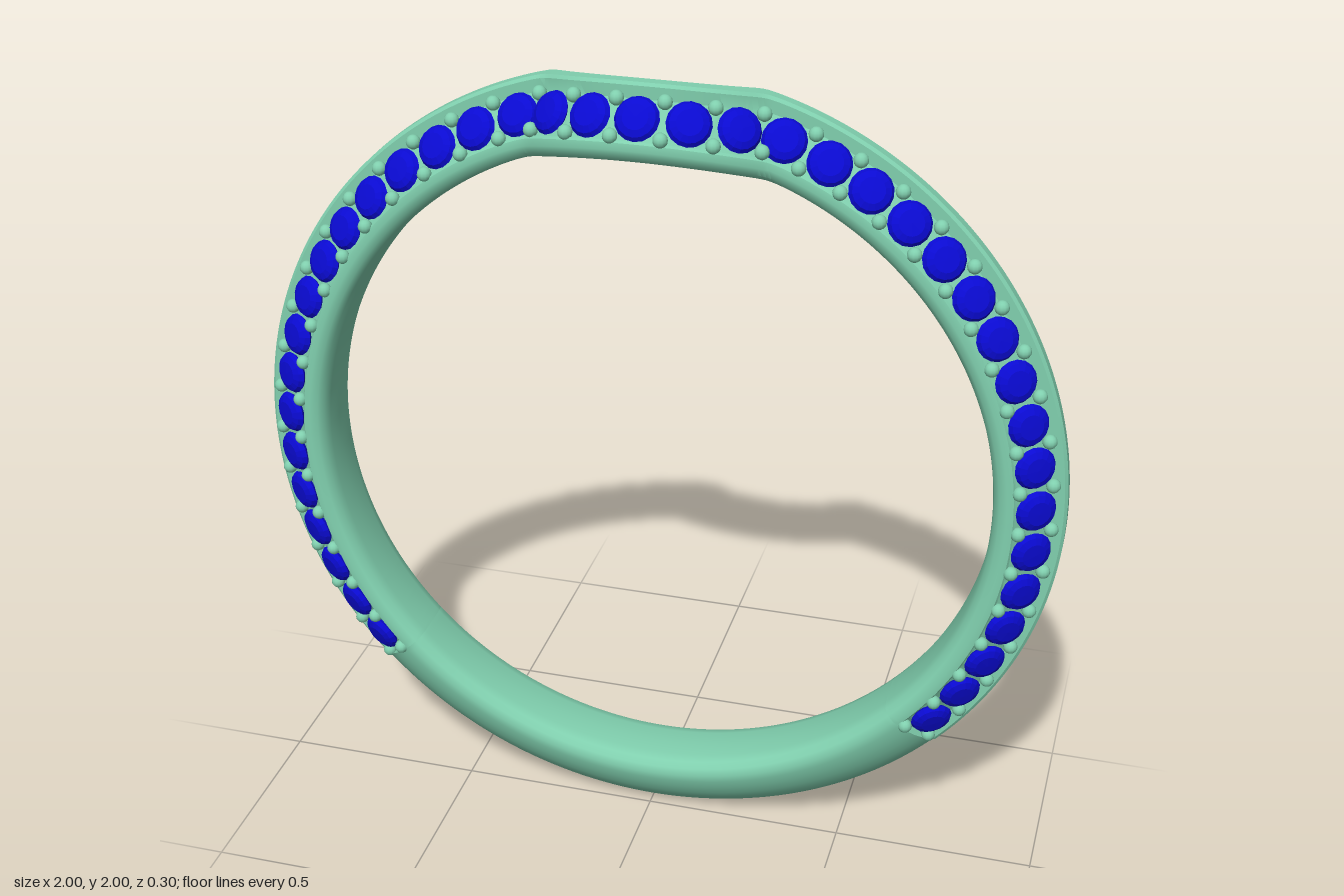
import * as THREE from 'three';
import { toCreasedNormals } from 'three/addons/utils/BufferGeometryUtils.js';

const END = 2.32;          // angle from the top where the stone channel stops
const CENTRE_Z = -0.0475;  // middle of the band away from the bend
const BEND_R = 0.376, BEND_C = -0.281;

// Point on the band: angle from the top, radius, offset across the band.
// Near the top the band follows concentric arcs that bow to the front.
function bandPoint(a, r, w) {
  const x = r * Math.sin(a);
  let z = w;
  if (Math.cos(a) > 0) {
    const R = BEND_R + w;
    const arc = BEND_C + Math.sqrt(Math.max(0, R * R - x * x));
    z = (w + arc + Math.hypot(w - arc, 0.012)) / 2;
  }
  return new THREE.Vector3(x, 1 + r * Math.cos(a), z + CENTRE_Z);
}

// Half profiles as [offset, radius], mirrored into closed loops
const inner = [[0, 0.83], [0.05, 0.831], [0.075, 0.837], [0.089, 0.85], [0.095, 0.868]];
const settingHalf = [...inner, [0.092, 0.884], [0.086, 0.888], [0.078, 0.883],
  [0.019, 0.963], [0.019, 0.993], [0.013, 1]];
const shankHalf = [...inner, [0.091, 0.888], [0.082, 0.912], [0.068, 0.938],
  [0.05, 0.962], [0.03, 0.983], [0.012, 0.996], [0, 0.999]];

function loop(half) {
  const back = half.filter(p => p[0] > 0).reverse().map(([w, r]) => [-w, r]);
  return [...half, ...back];
}

// Sweep a profile loop around the band from angle a0 to a1
function sweep(profile, a0, a1, steps, caps) {
  const n = profile.length, pos = [], idx = [];
  for (let i = 0; i <= steps; i++) {
    const a = a0 + (a1 - a0) * i / steps;
    for (const [w, r] of profile) pos.push(...bandPoint(a, r, w).toArray());
  }
  for (let i = 0; i < steps; i++) {
    for (let j = 0; j < n; j++) {
      const p = i * n + j, q = i * n + (j + 1) % n;
      idx.push(p, p + n, q, q, p + n, q + n);
    }
  }
  if (caps) {
    const last = steps * n;
    for (let j = 1; j < n - 1; j++) {
      idx.push(0, j, j + 1, last, last + j + 1, last + j);
    }
  }
  const g = new THREE.BufferGeometry();
  g.setAttribute('position', new THREE.Float32BufferAttribute(pos, 3));
  g.setIndex(idx);
  return toCreasedNormals(g, 0.6);
}

// Angles spaced evenly by length along one row
function evenAngles(w, r, from, to, count) {
  const N = 2000, len = [0];
  let prev = bandPoint(from, r, w);
  for (let i = 1; i <= N; i++) {
    const p = bandPoint(from + (to - from) * i / N, r, w);
    len.push(len[i - 1] + p.distanceTo(prev));
    prev = p;
  }
  const out = [];
  for (let k = 0, i = 0; k < count; k++) {
    const target = len[N] * k / (count - 1);
    while (i < N && len[i] < target - 1e-9) i++;
    out.push(from + (to - from) * i / N);
  }
  return out;
}

// Local frame on the sloping channel floor: along, across (outwards) and normal
function floorFrame(a, side) {
  const r = 0.925, w = side * 0.05, e = 0.012;
  const along = bandPoint(a + e, r, w).sub(bandPoint(a - e, r, w)).normalize();
  const across = bandPoint(a, r + 0.04, w - side * 0.027)
    .sub(bandPoint(a, r - 0.04, w + side * 0.027));
  across.addScaledVector(along, -across.dot(along)).normalize();
  const normal = new THREE.Vector3().crossVectors(along, across).multiplyScalar(side);
  return { origin: bandPoint(a, r, w), along, across, normal };
}

export function createModel() {
  const group = new THREE.Group();
  group.name = 'ring';
  const metal = new THREE.MeshStandardMaterial({ color: 0x80cfae });
  const gem = new THREE.MeshStandardMaterial({ color: 0x0a0ad2, flatShading: true });

  const add = (parent, name, geometry, material) => {
    const mesh = new THREE.Mesh(geometry, material);
    mesh.name = name;
    parent.add(mesh);
    return mesh;
  };

  // Band: channelled setting with a central rail, and plain lower shank
  add(group, 'channelBand', sweep(loop(settingHalf), -END, END, 360, false), metal);
  add(group, 'shank', sweep(loop(shankHalf), END, Math.PI * 2 - END, 100, true), metal);

  // Faceted round stone and small prong bead
  const stoneGeometry = new THREE.LatheGeometry([
    [0, -0.02], [0.045, -0.008], [0.052, 0], [0.045, 0.011], [0.03, 0.018], [0, 0.019],
  ].map(([x, y]) => new THREE.Vector2(x, y)), 16);
  const beadGeometry = new THREE.SphereGeometry(0.0175, 12, 8);

  const COUNT = 39;
  for (const side of [1, -1]) {
    const row = new THREE.Group();
    row.name = side > 0 ? 'frontStoneRow' : 'backStoneRow';
    group.add(row);

    // Even slots hold beads, odd slots hold stones
    const slots = evenAngles(side * 0.05, 0.925, -END + 0.012, END - 0.012, COUNT * 2 + 1);
    slots.forEach((a, k) => {
      const { origin, along, across, normal } = floorFrame(a, side);
      if (k % 2) {
        const stone = add(row, 'stone', stoneGeometry, gem);
        const sideways = new THREE.Vector3().crossVectors(normal, across);
        stone.quaternion.setFromRotationMatrix(
          new THREE.Matrix4().makeBasis(across, normal, sideways.negate()
            .multiplyScalar(-1).cross(normal).cross(normal).negate().cross(normal).length() > 0
            ? new THREE.Vector3().crossVectors(across, normal) : along));
        stone.position.copy(origin).addScaledVector(normal, 0.012);
      } else {
        for (const s of [-1, 1]) {
          const bead = add(row, 'prongBead', beadGeometry, metal);
          bead.position.copy(origin).addScaledVector(across, s * 0.043)
            .addScaledVector(normal, 0.014);
        }
      }
    });
  }
  return group;
}
